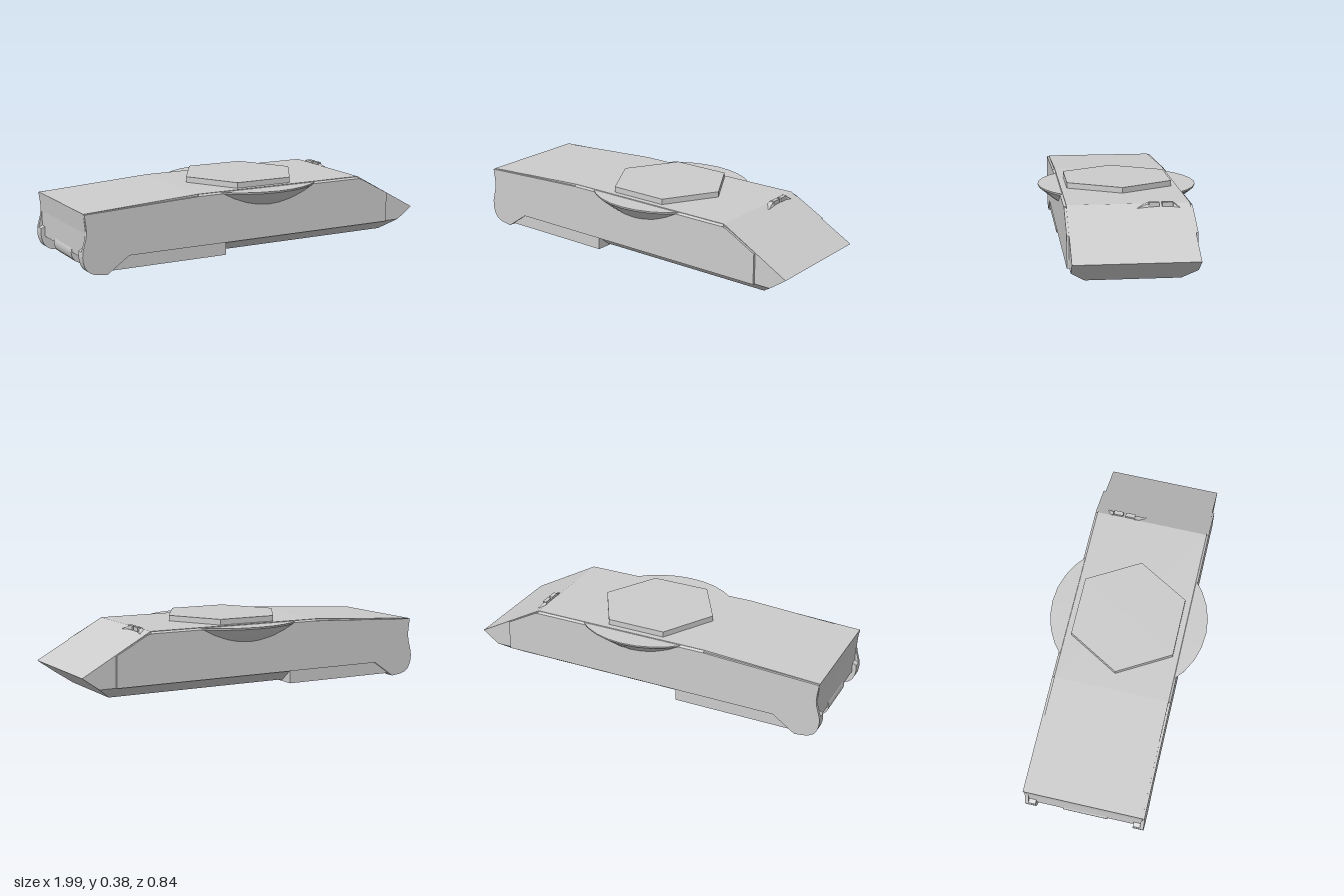
import * as THREE from 'three';
import { ConvexGeometry } from 'three/addons/geometries/ConvexGeometry.js';

const flat = new THREE.MeshStandardMaterial({ color: 0xcccccc, flatShading: true });
const smooth = new THREE.MeshStandardMaterial({ color: 0xcccccc });

function part(name, geometry, material = flat) {
  const mesh = new THREE.Mesh(geometry, material);
  mesh.name = name;
  return mesh;
}

// Side profile (x, y) extruded from z0 to z1
function slab(name, points, z0, z1) {
  const shape = new THREE.Shape(points.map(([x, y]) => new THREE.Vector2(x, y)));
  const geometry = new THREE.ExtrudeGeometry(shape, { depth: z1 - z0, bevelEnabled: false });
  geometry.translate(0, 0, z0);
  return part(name, geometry);
}

function convex(name, points) {
  return part(name, new ConvexGeometry(points.map((p) => new THREE.Vector3(...p))));
}

export function createModel() {
  const model = new THREE.Group();

  // Hull with raked roof and pointed bow
  model.add(slab('hull', [
    [-0.985, 0.32], [-0.975, 0.22], [-0.975, 0.088], [0.9, 0.088],
    [0.99, 0.152], [0.62, 0.358], [-0.36, 0.357],
  ], -0.307, 0.307));

  // Belly under the bow, chamfered along both sides
  const belly = [];
  for (const s of [-1, 1]) {
    belly.push([-0.25, 0.088, s * 0.307], [0.9, 0.088, s * 0.307]);
    belly.push([-0.25, 0.03, s * 0.235], [0.82, 0.03, s * 0.235]);
  }
  model.add(convex('frontBelly', belly));

  // Full width box under the rear, tapering up to the tail
  model.add(slab('rearBelly', [
    [-0.2, 0.02], [-0.2, 0.09], [-0.975, 0.09], [-0.86, 0.02],
  ], -0.31, 0.31));

  // Rounded housing at the middle of the tail
  const housing = new THREE.CylinderGeometry(0.06, 0.06, 0.24, 20);
  housing.rotateX(Math.PI / 2);
  const housingMesh = part('tailHousing', housing, smooth);
  housingMesh.position.set(-0.92, 0.085, 0);
  model.add(housingMesh);

  // Wavy tail edge, shared by the side plates and mudguards
  const tail = new THREE.SplineCurve([
    [-0.985, 0.318], [-0.975, 0.22], [-0.998, 0.12], [-0.985, 0.05], [-0.945, 0.016], [-0.87, 0.004],
  ].map(([x, y]) => new THREE.Vector2(x, y))).getPoints(16).map((p) => [p.x, p.y]);

  for (const s of [1, -1]) {
    const side = s > 0 ? 'left' : 'right';
    const span = (a, b) => (s > 0 ? [a, b] : [-b, -a]);

    // Side plate
    model.add(slab(side + 'SidePlate', [
      ...tail, [-0.75, 0.088], [0.81, 0.088], [0.81, 0.25], [0.64, 0.342], [0.62, 0.347], [-0.36, 0.347],
    ], ...span(0.3, 0.319)));

    // Bevel between side plate and roof
    const bevel = [];
    for (const [x, y] of [[-0.36, 0.347], [0.62, 0.347]]) {
      bevel.push([x, y, s * 0.319], [x, y + 0.01, s * 0.305], [x, y, s * 0.29]);
    }
    model.add(convex(side + 'RoofBevel', bevel));

    // Thick mudguard at the tail
    model.add(slab(side + 'Mudguard', [
      ...tail.slice(6), [-0.75, 0.088], [-0.85, 0.2],
    ], ...span(0.262, 0.318)));
  }

  // Flared ring that overhangs both sides
  const ring = part('turretRing', new THREE.LatheGeometry([
    [0, 0.26], [0.312, 0.26], [0.36, 0.296], [0.42, 0.345], [0.422, 0.354], [0, 0.354],
  ].map(([x, y]) => new THREE.Vector2(x, y)), 32));
  ring.position.x = 0.055;
  model.add(ring);

  // Six sided roof plate
  const roofPlate = part('roofPlate', new THREE.CylinderGeometry(0.318, 0.318, 0.04, 6));
  roofPlate.rotation.y = Math.PI / 6;
  roofPlate.position.set(0.047, 0.367, 0);
  model.add(roofPlate);

  // Vision blocks at the top of the bow, with sloping end fairings
  for (const z of [-0.125, -0.191]) {
    const block = part('visionBlock', new THREE.BoxGeometry(0.022, 0.022, 0.052));
    block.position.set(0.637, 0.357, z);
    model.add(block);
  }
  for (const [inner, outer] of [[-0.098, -0.04], [-0.22, -0.252]]) {
    model.add(convex('visionFairing', [
      [0.62, 0.366, inner], [0.642, 0.362, inner], [0.62, 0.345, inner], [0.65, 0.345, inner],
      [0.656, 0.341, outer], [0.63, 0.341, outer],
    ]));
  }

  return model;
}
